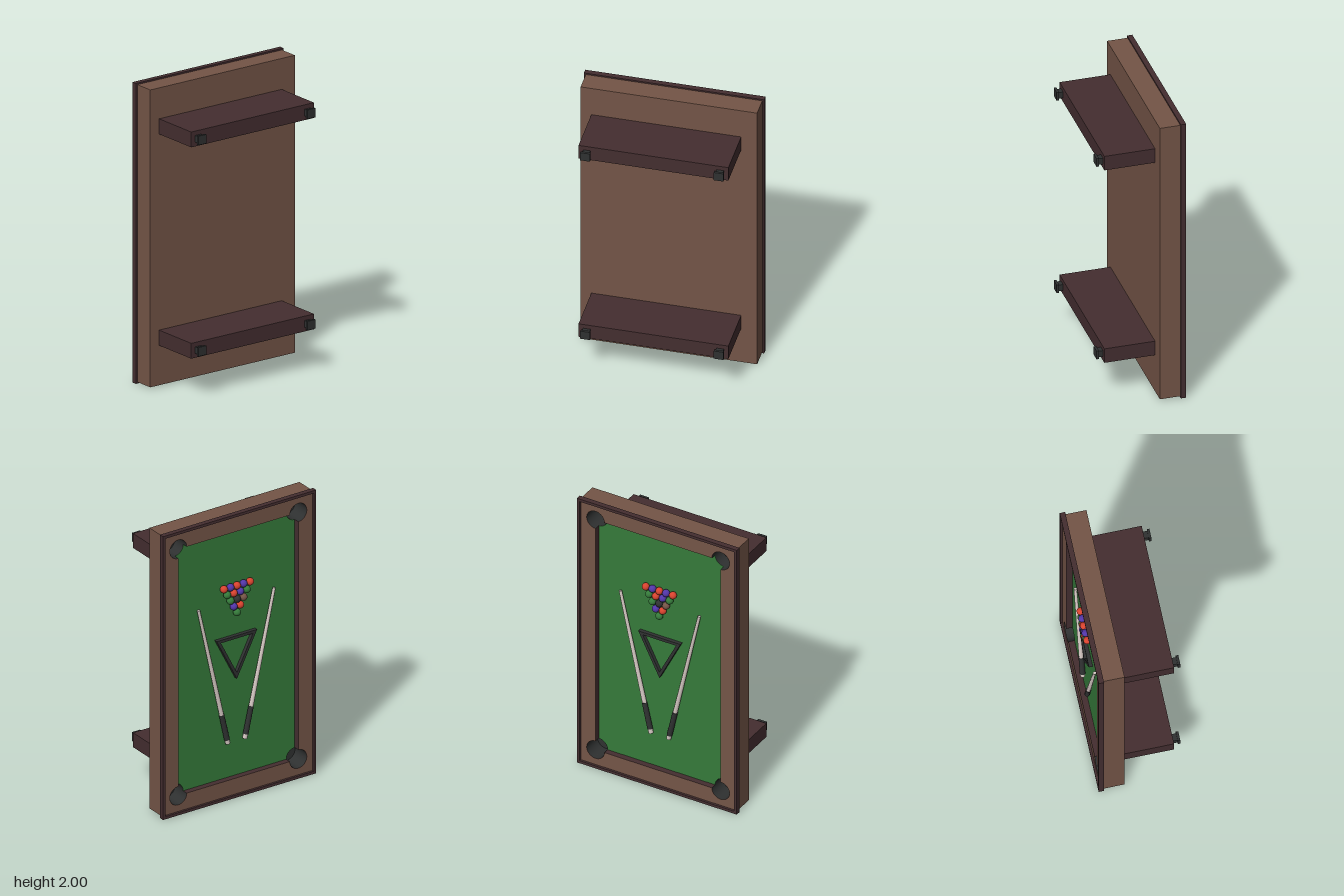
import * as THREE from 'three';

const mat = (name, color, extra = {}) => {
  const m = new THREE.MeshStandardMaterial({ color, ...extra });
  m.name = name;
  return m;
};

export function createModel() {
  const root = new THREE.Group();
  root.name = 'poolTable';

  const brown = mat('walnut brown', 0x745547);
  const dark = mat('dark wood', 0x442e30);
  const black = mat('black rubber', 0x2f3131, { side: THREE.DoubleSide });
  const green = mat('felt green', 0x357a3a);
  const red = mat('ball red', 0xd8432f);
  const purple = mat('ball purple', 0x5236a8);
  const pale = mat('pale cue wood', 0xd3c6c1);

  const add = (parent, name, geo, material, x = 0, y = 0, z = 0) => {
    const m = new THREE.Mesh(geo, material);
    m.name = name;
    m.position.set(x, y, z);
    parent.add(m);
    return m;
  };
  const box = (parent, name, w, h, d, material, x, y, z) =>
    add(parent, name, new THREE.BoxGeometry(w, h, d), material, x, y, z);
  const rect = (w, h, Type = THREE.Shape) => new Type([[-w, -h], [w, -h], [w, h], [-w, h]]
    .map(([x, y]) => new THREE.Vector2(x, y)));
  // Plate spanning z0..z1, drawn around the middle of the table top
  const plate = (name, shape, z0, z1, material, y = 1) =>
    add(root, name, new THREE.ExtrudeGeometry(shape, { depth: z1 - z0, bevelEnabled: false, curveSegments: 24 }),
      material, 0, y, z0);
  const ring = (w, h, iw, ih) => {
    const s = rect(w, h);
    s.holes.push(rect(iw, ih, THREE.Path));
    return s;
  };

  const W = 0.46, H = 0.87, R = 0.065; // playing field half size, pocket radius
  const FELT = -0.22, RAIL = -0.26, FLOOR = -0.13;
  const corners = [[W, H], [-W, H], [-W, -H], [W, -H]];
  // Field outline whose corners go around (sweep 270) or inside (sweep -90) the pockets
  const field = (Type, sweep) => {
    const p = new Type();
    corners.forEach(([x, y], k) => {
      const a = (k - 1) * Math.PI / 2;
      p.absarc(x, y, R, a, a + sweep, sweep < 0);
    });
    p.closePath();
    return p;
  };

  // Cabinet, edge trim, rails and felt
  box(root, 'cabinetBottom', 1.15, 1.98, 0.015, brown, 0, 1, -0.1125);
  plate('cabinetSides', ring(0.575, 0.99, 0.568, 0.983), -0.245, -0.12, brown);
  plate('edgeTrim', ring(0.587, 1, 0.568, 0.981), -0.275, -0.24, dark);
  const railShape = rect(0.569, 0.982);
  railShape.holes.push(field(THREE.Path, Math.PI * 1.5));
  plate('rails', railShape, RAIL, -0.12, [brown, dark]);
  plate('felt', field(THREE.Shape, -Math.PI / 2), FELT, FELT + 0.01, green);

  // Corner pockets: full cup below the felt, three-quarter wall in the rails
  corners.forEach(([x, y], k) => {
    const pocket = new THREE.Group();
    pocket.name = 'pocket';
    pocket.position.set(x, y + 1, 0);
    root.add(pocket);
    const wall = (z0, z1, start, len) => add(pocket, 'pocketWall',
      new THREE.CylinderGeometry(R - 0.001, R - 0.001, z1 - z0, 28, 1, true, start, len).rotateX(Math.PI / 2),
      black, 0, 0, (z0 + z1) / 2);
    wall(FELT, FLOOR, 0, Math.PI * 2);
    wall(RAIL, FELT, k * Math.PI / 2, Math.PI * 1.5);
    add(pocket, 'pocketFloor', new THREE.CircleGeometry(R, 28), black, 0, 0, FLOOR);
  });

  // Legs, each a wide slab with two stepped feet
  for (const y of [0.326, 1.733]) {
    box(root, 'leg', 0.976, 0.102, 0.336, dark, -0.017, y, 0.062);
    for (const x of [-0.451, 0.418]) {
      box(root, 'footStem', 0.047, 0.044, 0.03, black, x, y, 0.244);
      box(root, 'footPad', 0.063, 0.06, 0.016, black, x, y, 0.267);
    }
  }

  // Racked balls, listed from +x to -x
  const rows = [
    [red, purple, red, purple, red],
    [green, red, purple, green],
    [green, black, brown],
    [purple, red],
    [green],
  ];
  const ballGeo = new THREE.SphereGeometry(0.025, 20, 14);
  rows.forEach((row, r) => row.forEach((m, i) =>
    add(root, 'ball', ballGeo, m, ((row.length - 1) / 2 - i) * 0.05, 1.479 - r * 0.0472, FELT - 0.025)));

  // Triangle rack
  const tri = (k, Type) => new Type([[-0.155, 0.095], [0, -0.21], [0.155, 0.095]]
    .map(([x, y]) => new THREE.Vector2(x * k, y * k)));
  const rack = tri(1, THREE.Shape);
  rack.holes.push(tri(0.79, THREE.Path));
  plate('triangleRack', rack, FELT - 0.025, FELT, black, 1.03);

  // Two mirrored cues: pale butt cap, black grip, pale shaft
  for (const s of [1, -1]) {
    const butt = new THREE.Vector3(s * 0.065, 0.38, FELT - 0.018);
    const dir = new THREE.Vector3(s * 0.29, 1.38, FELT - 0.018).sub(butt);
    const length = dir.length();
    const cue = new THREE.Group();
    cue.name = 'cue';
    cue.position.copy(butt);
    cue.quaternion.setFromUnitVectors(new THREE.Vector3(0, 1, 0), dir.normalize());
    root.add(cue);
    const part = (name, a, b, ra, rb, m) => add(cue, name,
      new THREE.CylinderGeometry(rb, ra, (b - a) * length, 16), m, 0, (a + b) / 2 * length, 0);
    part('cueButt', 0, 0.03, 0.016, 0.016, pale);
    part('cueGrip', 0.03, 0.215, 0.018, 0.017, black);
    part('cueShaft', 0.215, 1, 0.015, 0.01, pale);
  }

  return root;
}
